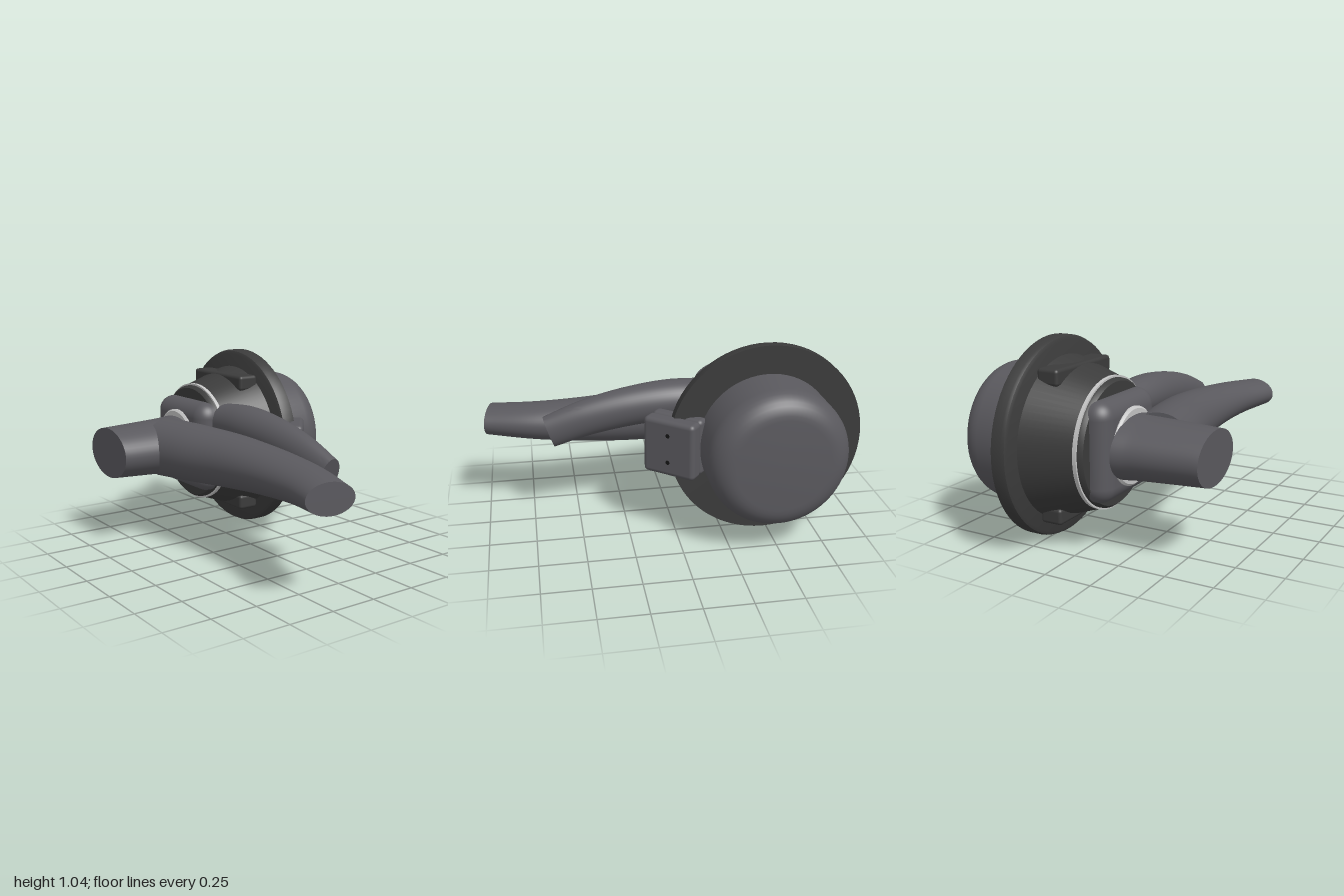
import * as THREE from 'three';
import { toCreasedNormals } from 'three/addons/utils/BufferGeometryUtils.js';
import { RoundedBoxGeometry } from 'three/addons/geometries/RoundedBoxGeometry.js';

const mat = (name, color) => {
  const m = new THREE.MeshStandardMaterial({ color });
  m.name = name;
  return m;
};

// Elliptical limb swept along points; each station is [x, y, z, halfWidth, halfHeight]
function limb(stations, segments = 40, sides = 48) {
  const path = new THREE.CatmullRomCurve3(stations.map(s => new THREE.Vector3(s[0], s[1], s[2])));
  const sizes = new THREE.CatmullRomCurve3(stations.map(s => new THREE.Vector3(s[3], s[4], 0)));
  const pos = [], idx = [];
  const up = new THREE.Vector3(0, 1, 0);
  for (let i = 0; i <= segments; i++) {
    const t = i / segments, c = path.getPoint(t), r = sizes.getPoint(t), dir = path.getTangent(t);
    const side = up.clone().cross(dir).normalize();
    const top = dir.clone().cross(side);
    for (let j = 0; j < sides; j++) {
      const a = j / sides * Math.PI * 2;
      const p = c.clone().addScaledVector(side, r.x * Math.cos(a)).addScaledVector(top, r.y * Math.sin(a));
      pos.push(p.x, p.y, p.z);
    }
  }
  for (let i = 0; i < segments; i++) for (let j = 0; j < sides; j++) {
    const k = (j + 1) % sides, a = i * sides, b = a + sides;
    idx.push(a + j, a + k, b + k, a + j, b + k, b + j);
  }
  // Flat end caps
  const last = segments * sides;
  for (let j = 1; j < sides - 1; j++) {
    idx.push(0, j + 1, j, last, last + j, last + j + 1);
  }
  const g = new THREE.BufferGeometry();
  g.setAttribute('position', new THREE.Float32BufferAttribute(pos, 3));
  g.setIndex(idx);
  return toCreasedNormals(g, 0.7);
}

// Lathe about the z axis from [radius, z] pairs, listed from back to front
function turned(profile) {
  const g = new THREE.LatheGeometry(profile.map(p => new THREE.Vector2(p[0], p[1])), 72);
  g.rotateX(Math.PI / 2);
  return toCreasedNormals(g, 0.6);
}

export function createModel() {
  const model = new THREE.Group();
  const grey = mat('slate grey', 0x5a595e);
  const dark = mat('charcoal', 0x3b3b3b);
  const silver = mat('silver', 0xc4c4c4);
  const black = mat('black', 0x151515);
  const add = (name, geometry, material, parent = model, x = 0, y = 0, z = 0) => {
    const m = new THREE.Mesh(geometry, material);
    m.name = name;
    m.position.set(x, y, z);
    parent.add(m);
    return m;
  };

  // Round body, centred on its own axis
  const body = new THREE.Group();
  body.name = 'body';
  body.position.set(-0.48, 0.525, 0);
  model.add(body);

  const can = [[0, -0.627]];
  for (let i = 0; i <= 8; i++) {
    const a = i / 8 * Math.PI / 2;
    can.push([0.245 + 0.123 * Math.sin(a), -0.504 - 0.123 * Math.cos(a)]);
  }
  can.push([0.368, -0.28]);
  add('rearCan', turned(can), grey, body);

  add('flange', turned([[0, -0.29], [0.52, -0.29], [0.52, -0.235], [0.513, -0.219],
    [0.497, -0.211], [0, -0.211]]), dark, body);
  add('coneHousing', turned([[0.425, -0.215], [0.337, 0.045]]), dark, body);
  add('trimRing', turned([[0.3, 0.044], [0.339, 0.044], [0.339, 0.064], [0.3, 0.064]]), silver, body);
  add('frontCap', turned([[0.33, 0.06], [0.328, 0.075], [0.315, 0.09], [0, 0.09]]), dark, body);

  // Pads half sunk in the cone, above and below
  for (const s of [1, -1]) {
    add(s > 0 ? 'upperPad' : 'lowerPad', new RoundedBoxGeometry(0.49, 0.085, 0.12, 3, 0.018),
      dark, body, 0, s * 0.352, -0.155);
  }

  // Cushioned mount and its shaft collar
  add('mount', new RoundedBoxGeometry(0.515, 0.51, 0.2, 6, 0.085), grey, body, 0, 0, 0.08);
  add('shaftCollar', turned([[0.2, 0.1], [0.2, 0.185], [0.19, 0.195], [0, 0.195]]), silver, body);

  // Forward grip stub
  add('gripStub', limb([[-0.478, 0.525, 0.19, 0.25, 0.162], [-0.477, 0.525, 0.27, 0.235, 0.155],
    [-0.476, 0.525, 0.45, 0.218, 0.146], [-0.475, 0.525, 0.625, 0.205, 0.138]], 16), grey);

  // Long curved arm
  add('longArm', limb([[-0.42, 0.528, 0.29, 0.172, 0.166], [-0.2, 0.528, 0.24, 0.17, 0.16],
    [0.1, 0.527, 0.178, 0.16, 0.144], [0.4, 0.526, 0.158, 0.15, 0.122],
    [0.7, 0.526, 0.182, 0.138, 0.1], [0.965, 0.526, 0.25, 0.125, 0.08]]), grey);

  // Short drooping lever
  add('lever', limb([[-0.25, 0.672, -0.005, 0.108, 0.1], [-0.03, 0.676, -0.006, 0.112, 0.11],
    [0.22, 0.651, -0.01, 0.097, 0.107], [0.45, 0.602, -0.013, 0.078, 0.1],
    [0.65, 0.535, -0.015, 0.057, 0.09]]), grey);

  // Angled side bracket in two layers, with screw holes on its outer face
  const bracket = new THREE.Group();
  bracket.name = 'sideBracket';
  bracket.position.set(0.005, 0.525, -0.265);
  bracket.rotation.y = -0.69;
  model.add(bracket);
  add('bracketBase', new RoundedBoxGeometry(0.3, 0.31, 0.075, 3, 0.025), grey, bracket, 0, 0, 0.042);
  add('bracketCover', new RoundedBoxGeometry(0.3, 0.31, 0.09, 3, 0.025), grey, bracket, 0, 0, -0.035);
  for (const y of [-0.075, 0.075]) {
    const hole = add('screwHole', new THREE.CircleGeometry(0.012, 16), black, bracket, 0, y, -0.0815);
    hole.rotation.y = Math.PI;
  }
  return model;
}
